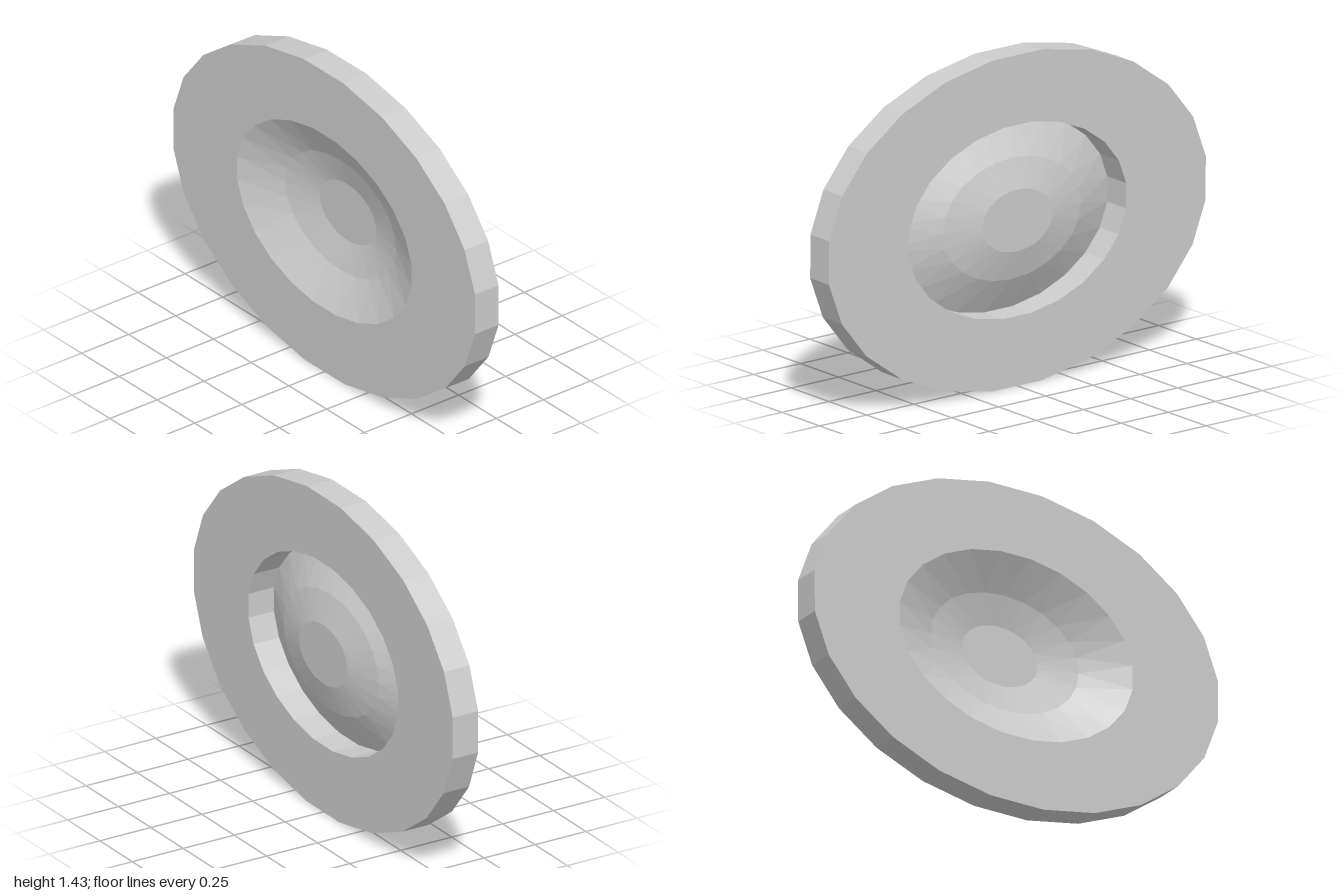
import * as THREE from 'three';

const SIDES = 24, CENTER_Y = 0.717, RATIO = 0.716, HALF = 0.0625;
const STEP = (Math.PI * 2) / SIDES;
const PHASE = THREE.MathUtils.degToRad(7.7);

// Corners of a 24-sided ellipse; rx is its horizontal half axis
function ellipse(rx, turn = 0) {
  return Array.from({ length: SIDES }, (_, i) => {
    const a = PHASE + turn + i * STEP;
    return new THREE.Vector2(rx * Math.cos(a), CENTER_Y + rx * RATIO * Math.sin(a));
  });
}

// Faceted band of triangles between two rings, facing +z
function band(outer, inner) {
  const pos = [];
  const put = (ring, i) => {
    const p = ring.points[i % SIDES];
    pos.push(p.x, p.y, ring.z);
  };
  for (let i = 0; i < SIDES; i++) {
    put(outer, i); put(outer, i + 1); put(inner, i);
    put(outer, i + 1); put(inner, i + 1); put(inner, i);
  }
  const geo = new THREE.BufferGeometry();
  geo.setAttribute('position', new THREE.Float32BufferAttribute(pos, 3));
  geo.computeVertexNormals();
  return geo;
}

export function createModel() {
  const group = new THREE.Group();
  const solid = new THREE.MeshStandardMaterial({ color: 0xcccccc, flatShading: true });
  const thin = new THREE.MeshStandardMaterial({ color: 0xcccccc, flatShading: true, side: THREE.DoubleSide });
  const add = (name, geo, mat) => {
    const mesh = new THREE.Mesh(geo, mat);
    mesh.name = name;
    group.add(mesh);
    return mesh;
  };

  // Flat oval rim with an oval opening
  const shape = new THREE.Shape(ellipse(1.008));
  shape.holes.push(new THREE.Path(ellipse(0.582).reverse()));
  const rim = new THREE.ExtrudeGeometry(shape, { depth: HALF * 2, bevelEnabled: false });
  rim.translate(0, 0, -HALF);
  add('rim', rim, solid);

  // Dish sinking from the front edge of the opening to the back plane
  const lip = { points: ellipse(0.582), z: HALF };
  const middle = { points: ellipse(0.367, STEP / 2), z: -0.025 };
  const floor = { points: ellipse(0.187, STEP), z: -HALF };
  add('outerSlope', band(lip, middle), thin);
  add('innerSlope', band(middle, floor), thin);

  // Flat floor of the dish
  const disc = new THREE.ShapeGeometry(new THREE.Shape(floor.points));
  add('dishFloor', disc, thin).position.z = floor.z;

  return group;
}
